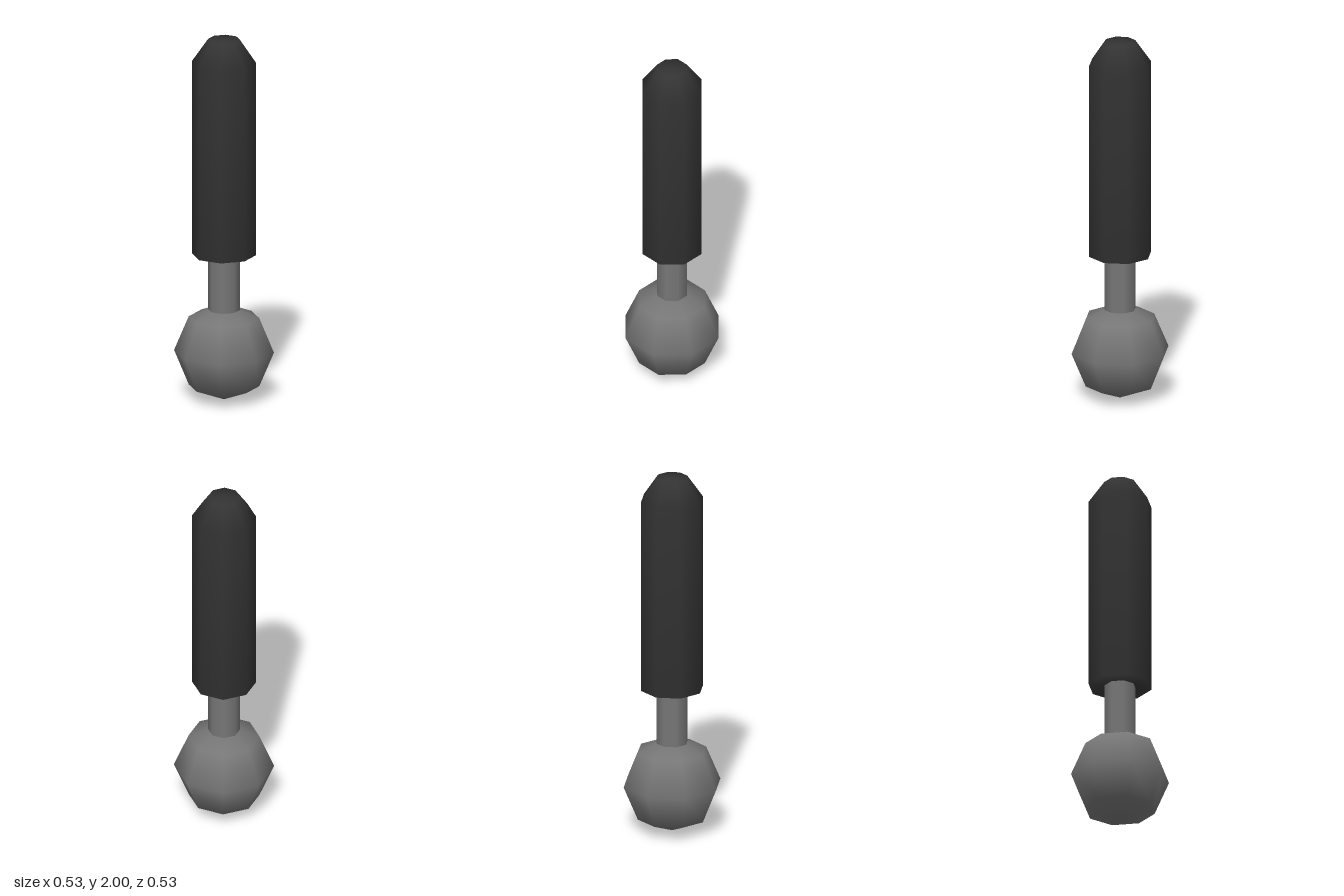
import * as THREE from 'three';

const SIDES = 8;

export function createModel() {
  const group = new THREE.Group();
  const metal = new THREE.MeshStandardMaterial({ color: 0x777777 });
  metal.name = 'grey metal';
  const rubber = new THREE.MeshStandardMaterial({ color: 0x333333 });
  rubber.name = 'dark grip';

  const add = (name, geometry, material, y = 0) => {
    const mesh = new THREE.Mesh(geometry, material);
    mesh.name = name;
    mesh.position.y = y;
    group.add(mesh);
  };
  const lathe = (profile) =>
    new THREE.LatheGeometry(profile.map(([r, y]) => new THREE.Vector2(r, y)), SIDES);

  // Round head at the bottom
  add('ballHead', new THREE.SphereGeometry(0.267, SIDES, 4), metal, 0.267);

  // Thin neck running from the head into the grip
  add('neck', new THREE.CylinderGeometry(0.085, 0.085, 0.42, SIDES, 1, true), metal, 0.64);

  // Grip with a flat underside and a tapered top
  add('grip', lathe([[0, 0.805], [0.171, 0.805], [0.171, 1.875], [0.085, 2], [0, 2]]), rubber);

  return group;
}
